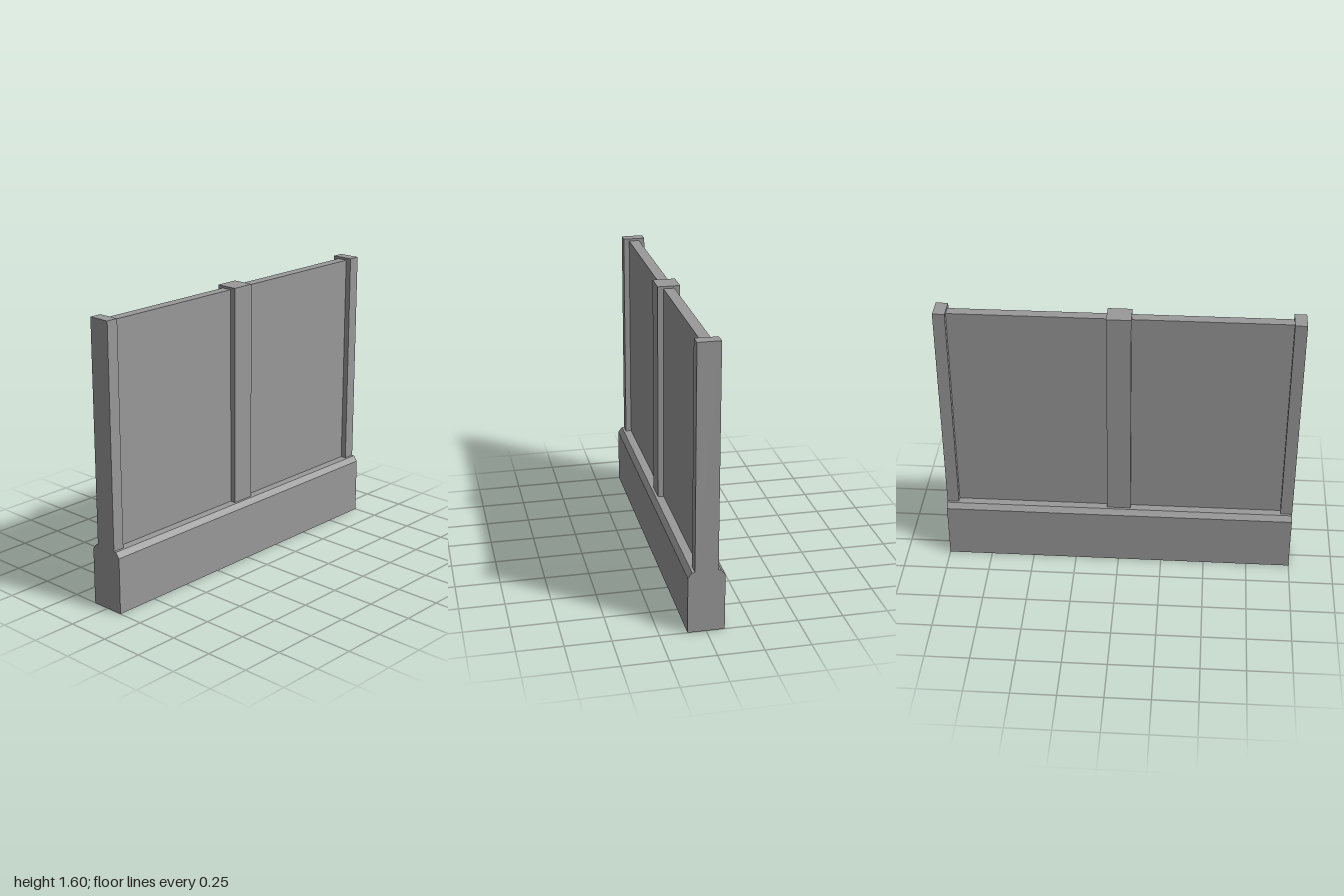
import * as THREE from 'three';

const HALF = 1; // half the wall length along z

// Chamfered plinth extruded along z, with the underside left open
function plinthGeometry() {
  const shape = new THREE.Shape([
    [-0.1, 0], [0.1, 0], [0.1, 0.32], [0.077, 0.35], [-0.077, 0.35], [-0.1, 0.32],
  ].map(([x, y]) => new THREE.Vector2(x, y)));
  const solid = new THREE.ExtrudeGeometry(shape, { depth: 2 * HALF, bevelEnabled: false })
    .toNonIndexed?.() ?? null;
  solid.translate(0, 0, -HALF);

  const pos = solid.attributes.position;
  const kept = [];
  for (let i = 0; i < pos.count; i += 3) {
    const onFloor = [0, 1, 2].every((k) => Math.abs(pos.getY(i + k)) < 1e-5);
    if (!onFloor) for (let k = 0; k < 3; k++) kept.push(pos.getX(i + k), pos.getY(i + k), pos.getZ(i + k));
  }
  const open = new THREE.BufferGeometry();
  open.setAttribute('position', new THREE.Float32BufferAttribute(kept, 3));
  open.computeVertexNormals();
  return open;
}

export function createModel() {
  const group = new THREE.Group();
  const grey = new THREE.MeshStandardMaterial({ color: 0x999999, side: THREE.DoubleSide });
  grey.name = 'concreteGrey';

  const add = (name, geometry) => {
    const mesh = new THREE.Mesh(geometry, grey);
    mesh.name = name;
    group.add(mesh);
    return mesh;
  };
  // Box given by its width, vertical range and z range
  const block = (name, width, y0, y1, z0, z1) =>
    add(name, new THREE.BoxGeometry(width, y1 - y0, z1 - z0))
      .position.set(0, (y0 + y1) / 2, (z0 + z1) / 2);

  add('plinth', plinthGeometry());

  // Full post in the middle, half posts at both ends
  const post = 0.067;
  block('middlePost', 0.125, 0.35, 1.6, -post, post);
  block('frontPost', 0.125, 0.35, 1.6, HALF - post, HALF);
  block('backPost', 0.125, 0.35, 1.6, -HALF, -HALF + post);

  // Thin wall panels between the posts
  block('frontPanel', 0.06, 0.35, 1.587, post, HALF - post);
  block('backPanel', 0.06, 0.35, 1.587, -HALF + post, -post);

  return group;
}
